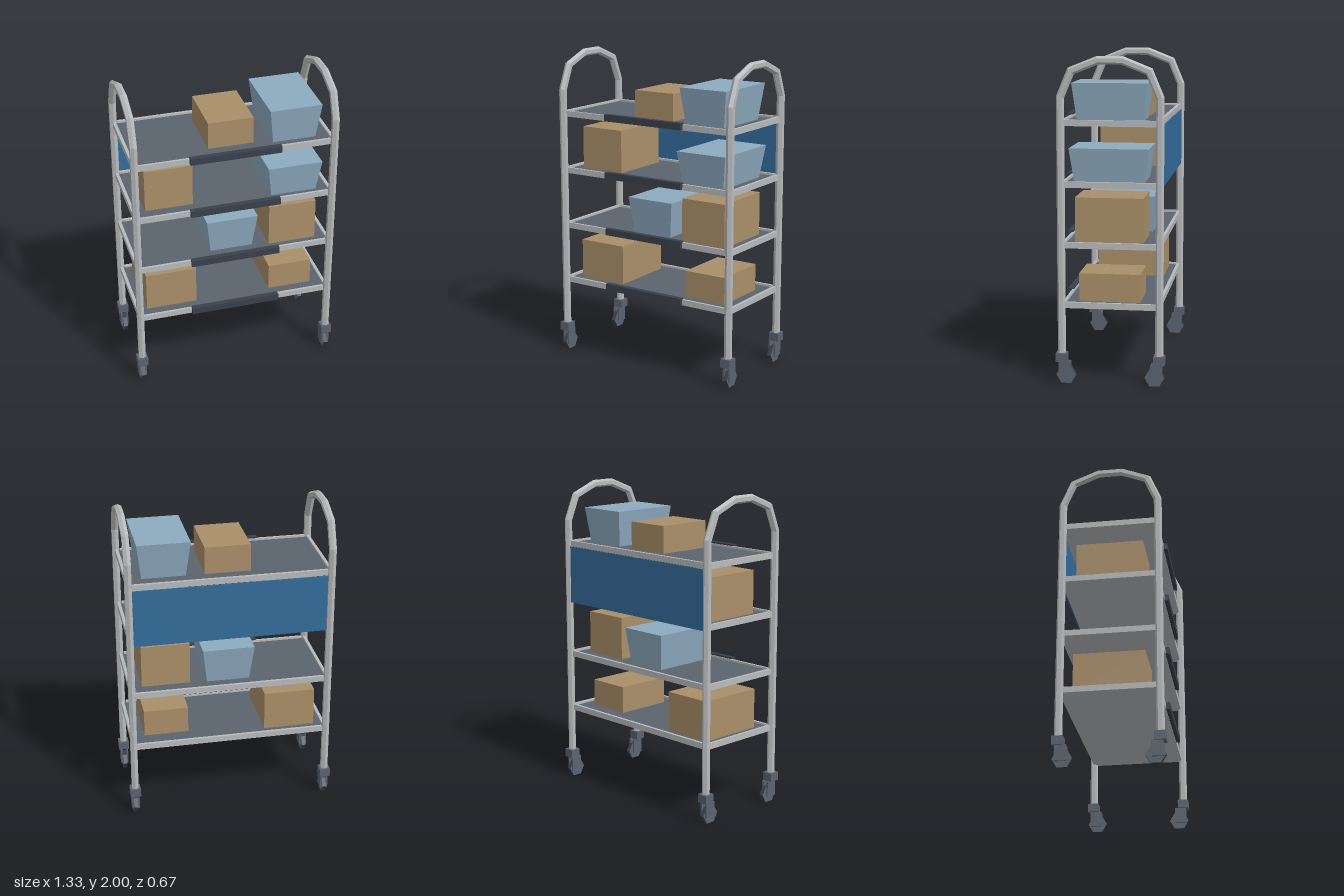
import * as THREE from 'three';

const mat = (name, color) => {
  const m = new THREE.MeshStandardMaterial({ color });
  m.name = name;
  return m;
};

export function createModel() {
  const steel = mat('steel', 0xb8bbbd);
  const shelfGrey = mat('shelf grey', 0x5b646d);
  const dark = mat('dark plastic', 0x39414c);
  const casterGrey = mat('caster grey', 0x5b646f);
  const blue = mat('panel blue', 0x346d9d);
  const card = mat('cardboard', 0xaa8f69);
  const bin = mat('bin blue', 0x8dabbf);

  const model = new THREE.Group();
  model.name = 'shelfTrolley';

  const add = (parent, name, geometry, material) => {
    const mesh = new THREE.Mesh(geometry, material);
    mesh.name = name;
    parent.add(mesh);
    return mesh;
  };
  // Box given by its limits on each axis
  const block = (parent, name, material, [x0, x1], [y0, y1], [z0, z1]) => {
    const g = new THREE.BoxGeometry(x1 - x0, y1 - y0, z1 - z0);
    g.translate((x0 + x1) / 2, (y0 + y1) / 2, (z0 + z1) / 2);
    return add(parent, name, g, material);
  };
  const flat = (g) => {
    const f = g.toNonIndexed();
    f.computeVertexNormals();
    return f;
  };

  // Hexagonal tube swept along a mitred path in the z-y plane
  const hoopGeometry = (points, radius) => {
    const path = points.map(([z, y]) => new THREE.Vector2(z, y));
    const pos = [], index = [], last = path.length - 1;
    path.forEach((p, i) => {
      const before = p.clone().sub(path[Math.max(i - 1, 0)]).normalize();
      const after = path[Math.min(i + 1, last)].clone().sub(p).normalize();
      const t = before.clone().add(after).normalize();
      const miter = 1 / t.dot(i === last ? before : after);
      for (let k = 0; k < 6; k++) {
        const a = (k * Math.PI) / 3;
        const n = Math.cos(a) * radius * miter;
        pos.push(Math.sin(a) * radius, p.y + t.x * n, p.x - t.y * n);
        if (i < last) {
          const b = i * 6 + k, c = i * 6 + ((k + 1) % 6);
          index.push(b, b + 6, c, c, b + 6, c + 6);
        }
      }
    });
    const g = new THREE.BufferGeometry();
    g.setAttribute('position', new THREE.Float32BufferAttribute(pos, 3));
    // Keep the faces pointing outwards
    const v = (j) => new THREE.Vector3().fromArray(pos, j * 3);
    const normal = v(index[1]).sub(v(index[0])).cross(v(index[2]).sub(v(index[0])));
    const centre = new THREE.Vector3(0, points[0][1], points[0][0]);
    if (normal.dot(v(index[0]).add(v(index[2])).multiplyScalar(0.5).sub(centre)) < 0) index.reverse();
    g.setIndex(index);
    return flat(g);
  };

  // Two side hoops: post, faceted arch, post
  const half = [[0.3, 0.16], [0.3, 1.755], [0.235, 1.91], [0.075, 1.974]];
  const hoop = hoopGeometry([...half, ...half.map(([z, y]) => [-z, y]).reverse()], 0.025);
  for (const s of [-1, 1]) {
    add(model, s > 0 ? 'leftHoop' : 'rightHoop', hoop, steel).position.x = s * 0.632;
  }

  // Casters: socket, fork and hexagonal wheel set towards the middle
  const wheel = flat(new THREE.CylinderGeometry(0.061, 0.061, 0.027, 6).rotateZ(Math.PI / 2));
  for (const sx of [-1, 1]) {
    for (const sz of [-1, 1]) {
      const caster = new THREE.Group();
      caster.name = 'caster';
      caster.position.x = sx * 0.632;
      if (sz < 0) caster.rotation.y = Math.PI;
      block(caster, 'casterSocket', casterGrey, [-0.034, 0.034], [0.135, 0.19], [0.266, 0.334]);
      for (const s of [-1, 1]) {
        const x = s * 0.0195;
        block(caster, 'forkPlate', casterGrey, [x - 0.0055, x + 0.0055], [0.038, 0.136], [0.247, 0.318]);
      }
      add(caster, 'wheel', wheel, [dark, casterGrey, casterGrey]).position.set(0, 0.053, 0.272);
      model.add(caster);
    }
  }

  // Shelves: steel tray with raised rim, grey mat inside and front handle strip
  const tops = [0.507, 0.878, 1.248, 1.62];
  tops.forEach((top) => {
    const shelf = new THREE.Group();
    shelf.name = 'shelf';
    const y = [top - 0.037, top];
    block(shelf, 'trayBottom', steel, [-0.636, 0.636], [top - 0.037, top - 0.02], [-0.29, 0.29]);
    block(shelf, 'shelfMat', shelfGrey, [-0.62, 0.62], [top - 0.021, top - 0.013], [-0.285, 0.285]);
    block(shelf, 'frontRim', steel, [-0.608, 0.608], y, [0.279, 0.296]);
    block(shelf, 'backRim', steel, [-0.608, 0.608], y, [-0.302, -0.283]);
    for (const s of [-1, 1]) {
      block(shelf, 'sideRim', steel, [s * 0.628 - 0.01, s * 0.628 + 0.01], y, [-0.29, 0.29]);
    }
    block(shelf, 'handleStrip', dark, [-0.29, 0.288], [top - 0.033, top + 0.01], [0.285, 0.32]);
    model.add(shelf);
  });

  // Back panel between the upper two shelves
  block(model, 'backPanel', blue, [-0.608, 0.608], [1.21, 1.582], [-0.309, -0.302]);

  // Cardboard boxes: shelf, x range, top, z range
  const boxes = [
    [0, [-0.566, -0.236], 0.749, [-0.233, 0.206]],
    [0, [0.256, 0.543], 0.669, [-0.172, 0.206]],
    [2, [-0.553, -0.248], 1.511, [-0.225, 0.196]],
    [1, [0.243, 0.554], 1.141, [-0.192, 0.228]],
    [3, [-0.145, 0.144], 1.781, [-0.188, 0.185]],
  ];
  for (const [level, x, top, z] of boxes) {
    block(model, 'cardboardBox', card, x, [tops[level] - 0.014, top], z);
  }

  // Storage bins, narrower at the foot
  const bins = [
    [1, [-0.167, 0.165], 1.096, [-0.231, 0.233]],
    [2, [0.223, 0.574], 1.442, [-0.225, 0.262]],
    [3, [0.232, 0.564], 1.836, [-0.216, 0.245]],
  ];
  for (const [level, x, top, z] of bins) {
    const base = tops[level] - 0.014;
    const g = block(model, 'storageBin', bin, x, [base, top], z).geometry;
    const p = g.attributes.position;
    const cx = (x[0] + x[1]) / 2, cz = (z[0] + z[1]) / 2;
    for (let i = 0; i < p.count; i++) {
      if (p.getY(i) > base + 0.01) continue;
      p.setX(i, p.getX(i) - Math.sign(p.getX(i) - cx) * 0.029);
      p.setZ(i, p.getZ(i) - Math.sign(p.getZ(i) - cz) * 0.029);
    }
    g.computeVertexNormals();
  }

  return model;
}
